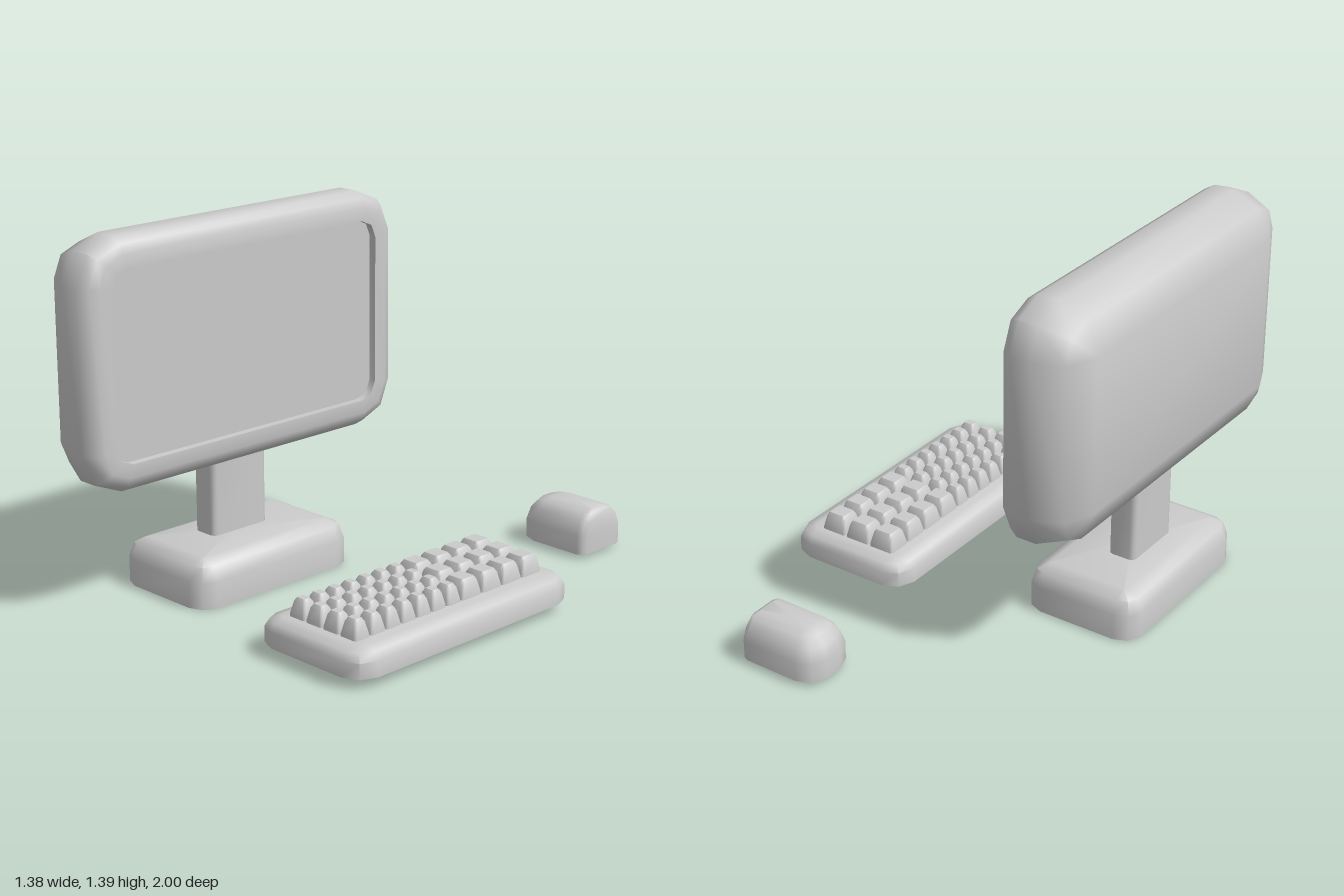
import * as THREE from 'three';
import { toCreasedNormals } from 'three/addons/utils/BufferGeometryUtils.js';

const material = new THREE.MeshStandardMaterial({ color: 0xcccccc });
const SEG = 2; // segments per rounded corner

// Outline of a rounded rectangle; r0 rounds the corners at x0, r1 those at x1
function outline([y, x0, x1, z0, z1, r0, r1 = r0]) {
  const corners = [
    [x1 - r1, z1 - r1, r1], [x0 + r0, z1 - r0, r0],
    [x0 + r0, z0 + r0, r0], [x1 - r1, z0 + r1, r1],
  ];
  const points = [];
  corners.forEach(([cx, cz, r], k) => {
    for (let s = 0; s <= SEG; s++) {
      const a = (k + s / SEG) * Math.PI / 2;
      points.push([cx + r * Math.cos(a), y, cz + r * Math.sin(a)]);
    }
  });
  return points;
}

// Closed solid through a stack of rounded rectangles
function loft(rings) {
  const n = 4 * (SEG + 1);
  const positions = rings.flatMap((ring) => outline(ring).flat());
  const index = [];
  for (let i = 0; i < rings.length - 1; i++) {
    for (let j = 0; j < n; j++) {
      const a = i * n + j, b = i * n + (j + 1) % n;
      index.push(a, a + n, b, b, a + n, b + n);
    }
  }
  const centre = ([y, x0, x1, z0, z1]) => [(x0 + x1) / 2, y, (z0 + z1) / 2];
  const bottom = rings.length * n, top = bottom + 1, last = bottom - n;
  positions.push(...centre(rings[0]), ...centre(rings[rings.length - 1]));
  for (let j = 0; j < n; j++) {
    const k = (j + 1) % n;
    index.push(bottom, j, k, top, last + k, last + j);
  }
  const geometry = new THREE.BufferGeometry();
  geometry.setAttribute('position', new THREE.Float32BufferAttribute(positions, 3));
  geometry.setIndex(index);
  return toCreasedNormals(geometry, 0.9);
}

// Centred slab; each level is [height, inset, corner radius]
function slab(width, depth, levels) {
  return loft(levels.map(([y, inset, r]) => {
    const w = width / 2 - inset, d = depth / 2 - inset;
    return [y, -w, w, -d, d, r];
  }));
}

function add(parent, name, geometry, x = 0, y = 0, z = 0) {
  const mesh = new THREE.Mesh(geometry, material);
  mesh.name = name;
  mesh.position.set(x, y, z);
  parent.add(mesh);
  return mesh;
}

export function createModel() {
  const model = new THREE.Group();
  model.name = 'desktopComputer';

  // Monitor: lofted from its back to the front rim, then into the screen recess
  const monitor = slab(0.925, 1.49, [
    [-0.65, 0.165, 0.003],
    [-0.60, 0.05, 0.115],
    [-0.49, 0, 0.165],
    [-0.41, 0, 0.165],
    [-0.37, 0.025, 0.14],
    [-0.355, 0.06, 0.105],
    [-0.355, 0.11, 0.07],
    [-0.385, 0.11, 0.07],
  ]);
  monitor.rotateZ(-Math.PI / 2);
  add(model, 'monitor', monitor, 0, 0.9325, 0.255);

  // Stand
  add(model, 'standNeck', slab(0.11, 0.265, [[0.15, 0, 0.02], [0.52, 0, 0.02]]), -0.49, 0, 0.255);
  add(model, 'standBase', slab(0.465, 0.755, [
    [0, 0, 0.075], [0.10, 0, 0.075], [0.155, 0.02, 0.055], [0.178, 0.07, 0.005],
  ]), -0.4575, 0, 0.2525);

  // Keyboard
  const keyboard = new THREE.Group();
  keyboard.name = 'keyboard';
  model.add(keyboard);
  add(keyboard, 'keyboardBody', slab(0.52, 1.095, [
    [0.037, 0, 0.09], [0.095, 0, 0.09], [0.124, 0.018, 0.072], [0.135, 0.06, 0.03],
  ]), 0.425, 0, 0.1825);

  // Key blocks: wide keys at the back, small keys in front
  const blocks = [
    { name: 'wideKey', cols: 3, rows: 4, z0: -0.297, z1: 0.127 },
    { name: 'smallKey', cols: 4, rows: 7, z0: 0.127, z1: 0.65 },
  ];
  const left = 0.252, right = 0.586;
  for (const { name, cols, rows, z0, z1 } of blocks) {
    const dx = (right - left) / cols, dz = (z1 - z0) / rows;
    const key = slab(dx - 0.004, dz - 0.004, [
      [0.13, 0, 0.01], [0.145, 0.001, 0.01], [0.19, 0.011, 0.01], [0.204, 0.021, 0.004],
    ]);
    for (let c = 0; c < cols; c++) {
      for (let r = 0; r < rows; r++) {
        add(keyboard, name, key, left + (c + 0.5) * dx, 0, z0 + (r + 0.5) * dz);
      }
    }
  }

  // Mouse: rounder at its left end
  add(model, 'mouse', loft([
    [0.015, 0.06, 0.39, -1, -0.765, 0.08, 0.03],
    [0.09, 0.06, 0.39, -1, -0.765, 0.08, 0.03],
    [0.14, 0.075, 0.386, -0.985, -0.78, 0.07, 0.03],
    [0.172, 0.105, 0.378, -0.957, -0.808, 0.05, 0.02],
    [0.183, 0.155, 0.36, -0.92, -0.845, 0.015, 0.01],
  ]));

  return model;
}
